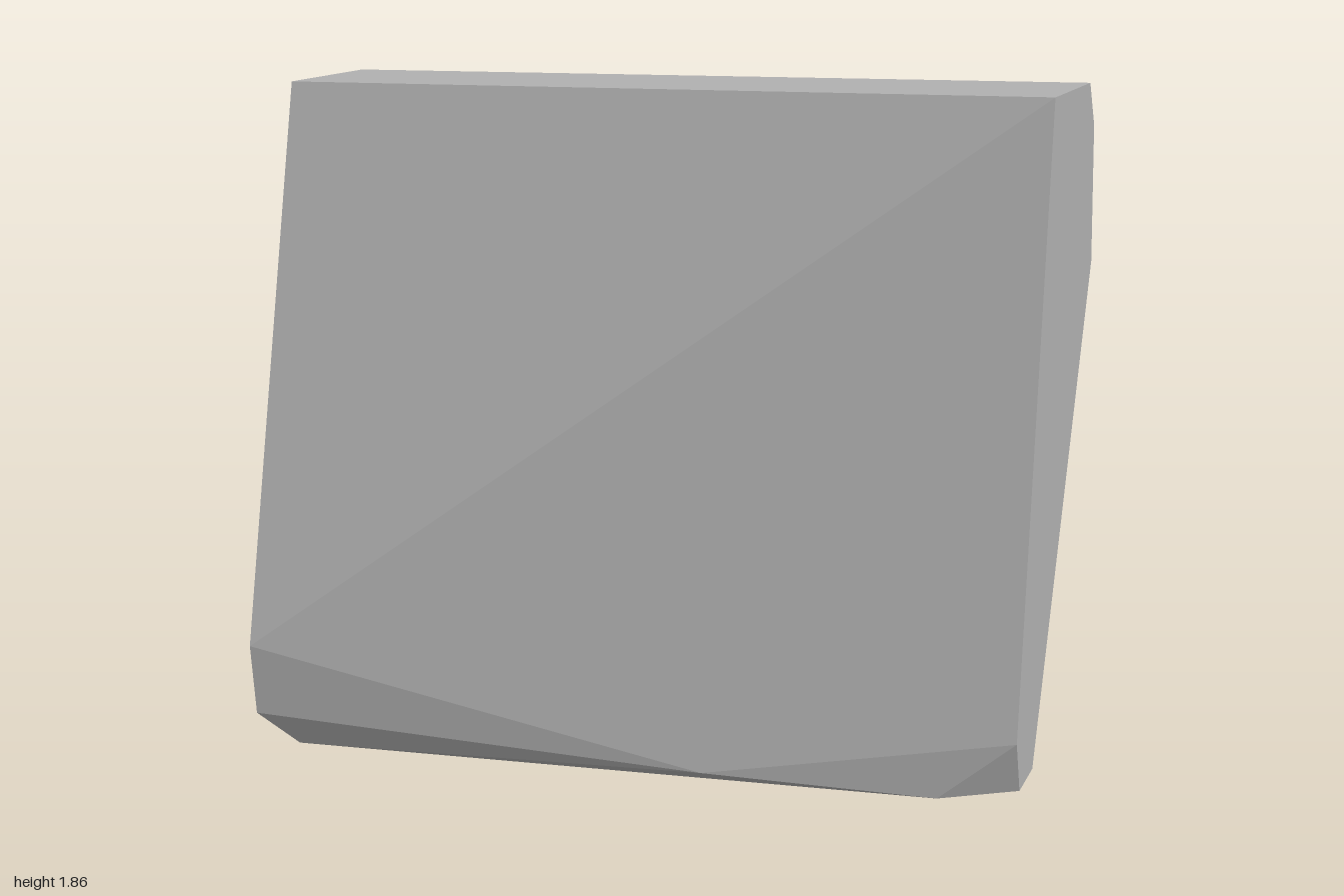
import * as THREE from 'three';
import { ConvexGeometry } from 'three/addons/geometries/ConvexGeometry.js';

const stone = new THREE.MeshStandardMaterial({ color: 0xb0b0b0 });
stone.name = 'stone grey';

// Corners of the slab as [x, y, z]
const corners = [
  // flat top
  [-1, 1.86, 0.28], [1, 1.86, -0.10], [1, 1.86, -0.50], [-0.995, 1.86, -0.09],
  // chipped upper back edge
  [1, 1.74, -0.57], [1, 1.36, -0.61], [0.57, 1.55, -0.55],
  [-1, 1.62, -0.11], [-0.92, 1.50, -0.13],
  // lower corner at -x
  [-1, 0.36, 0.61], [-1, 0.16, 0.59], [-0.91, 0.06, 0.52],
  [-1, 0.33, 0.30], [-1, 0.17, 0.40], [-0.68, 0.04, 0.295],
  // worn underside and lower corner at +x
  [0.2, 0.06, 0.30], [0.5, 0, 0.02], [0.8, 0.005, 0.10],
  [1, 0.17, 0.05], [1, 0.02, 0], [1, 0.03, -0.14],
];

export function createModel() {
  const group = new THREE.Group();
  group.name = 'stoneSlab';

  // One convex, flat-faceted block
  const points = corners.map((c) => new THREE.Vector3(...c));
  const slab = new THREE.Mesh(new ConvexGeometry(points), stone);
  slab.name = 'slab';
  group.add(slab);
  return group;
}
